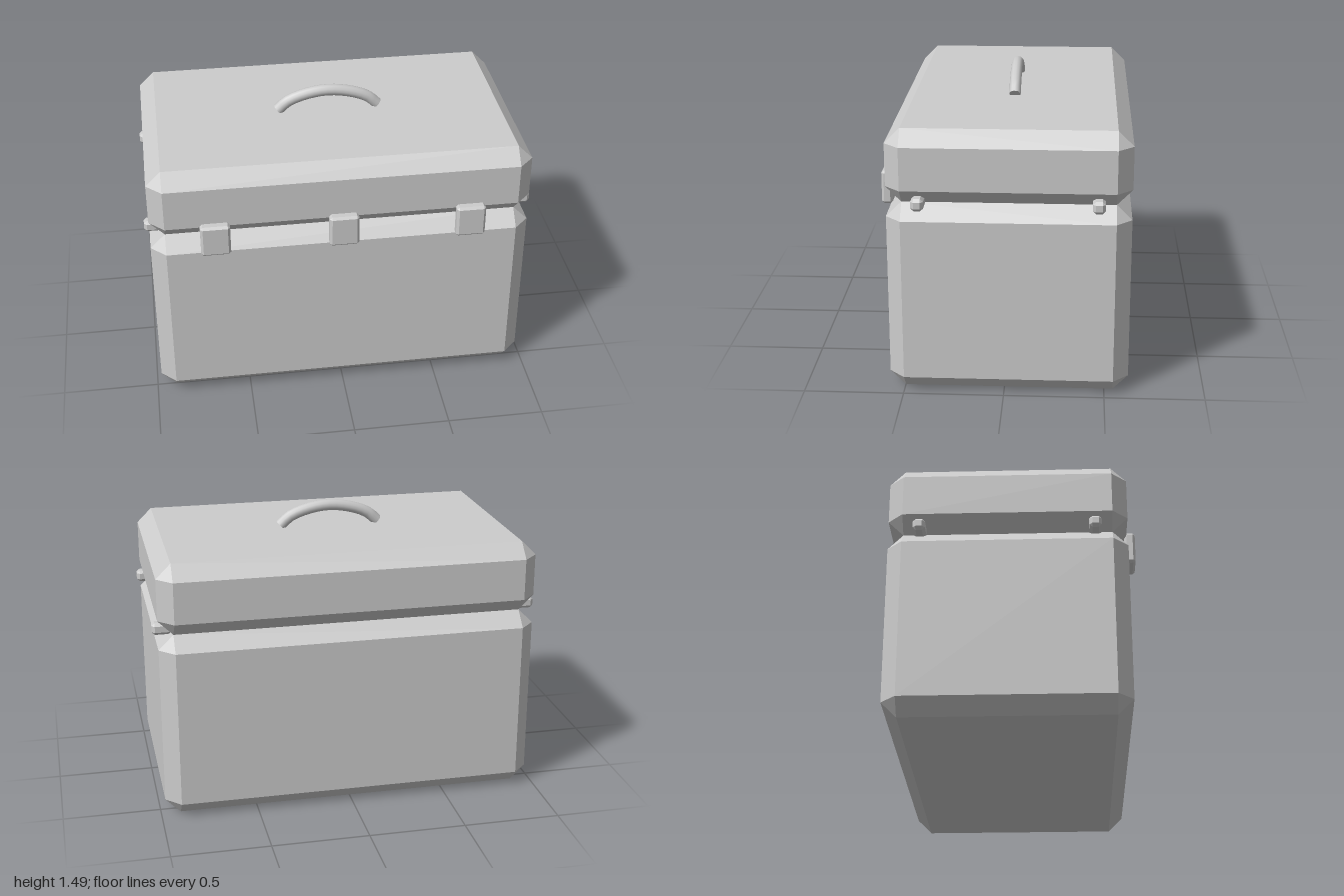
import * as THREE from 'three';
import { ConvexGeometry } from 'three/addons/geometries/ConvexGeometry.js';

const grey = new THREE.MeshStandardMaterial({ color: 0xcccccc });
grey.name = 'plain grey';

const CENTRE_Z = -0.022; // centre of the chest, behind the latches

// Box with flat chamfered edges and triangular corners
function chamferBox(w, h, d, c) {
  const points = [];
  for (const x of [-1, 1]) for (const y of [-1, 1]) for (const z of [-1, 1]) {
    for (let axis = 0; axis < 3; axis++) {
      const inset = [c, c, c];
      inset[axis] = 0;
      points.push(new THREE.Vector3(
        x * (w / 2 - inset[0]), y * (h / 2 - inset[1]), z * (d / 2 - inset[2])));
    }
  }
  return new ConvexGeometry(points);
}

export function createModel() {
  const chest = new THREE.Group();
  chest.name = 'chest';

  function add(name, geometry, x, y, z, parent = chest) {
    const mesh = new THREE.Mesh(geometry, grey);
    mesh.name = name;
    mesh.position.set(x, y, z);
    parent.add(mesh);
    return mesh;
  }

  // Body and lid
  add('body', chamferBox(1.952, 0.98, 1.196, 0.077), 0, 0.49, CENTRE_Z);
  add('lid', chamferBox(1.952, 0.37, 1.196, 0.077), 0, 1.165, CENTRE_Z);

  // Front latches across the seam
  const latch = chamferBox(0.15, 0.17, 0.055, 0.012);
  for (const x of [-0.65, 0, 0.65]) add('latch', latch, x, 0.991, 0.5925);

  // Pegs in the seam on both sides
  const peg = chamferBox(0.14, 0.062, 0.062, 0.015);
  for (const side of [-1, 1]) for (const z of [-0.436, 0.436]) {
    add('sidePeg', peg, side * 0.93, 0.992, CENTRE_Z + z);
  }

  // Arched carrying handle with closed ends
  const handle = new THREE.Group();
  handle.name = 'handle';
  handle.position.z = CENTRE_Z;
  chest.add(handle);
  const half = [[0.262, 1.358], [0.214, 1.402], [0.124, 1.438]];
  const curve = new THREE.CatmullRomCurve3([
    ...half.map(([x, y]) => new THREE.Vector3(-x, y, 0)),
    new THREE.Vector3(0, 1.456, 0),
    ...half.reverse().map(([x, y]) => new THREE.Vector3(x, y, 0)),
  ]);
  add('handleBar', new THREE.TubeGeometry(curve, 16, 0.03, 12), 0, 0, 0, handle);
  for (const t of [0, 1]) {
    const end = curve.getPointAt(t);
    const outward = curve.getTangentAt(t).multiplyScalar(t ? 1 : -1);
    const cap = add('handleEnd', new THREE.CircleGeometry(0.03, 12), end.x, end.y, 0, handle);
    cap.quaternion.setFromUnitVectors(new THREE.Vector3(0, 0, 1), outward);
  }

  return chest;
}
